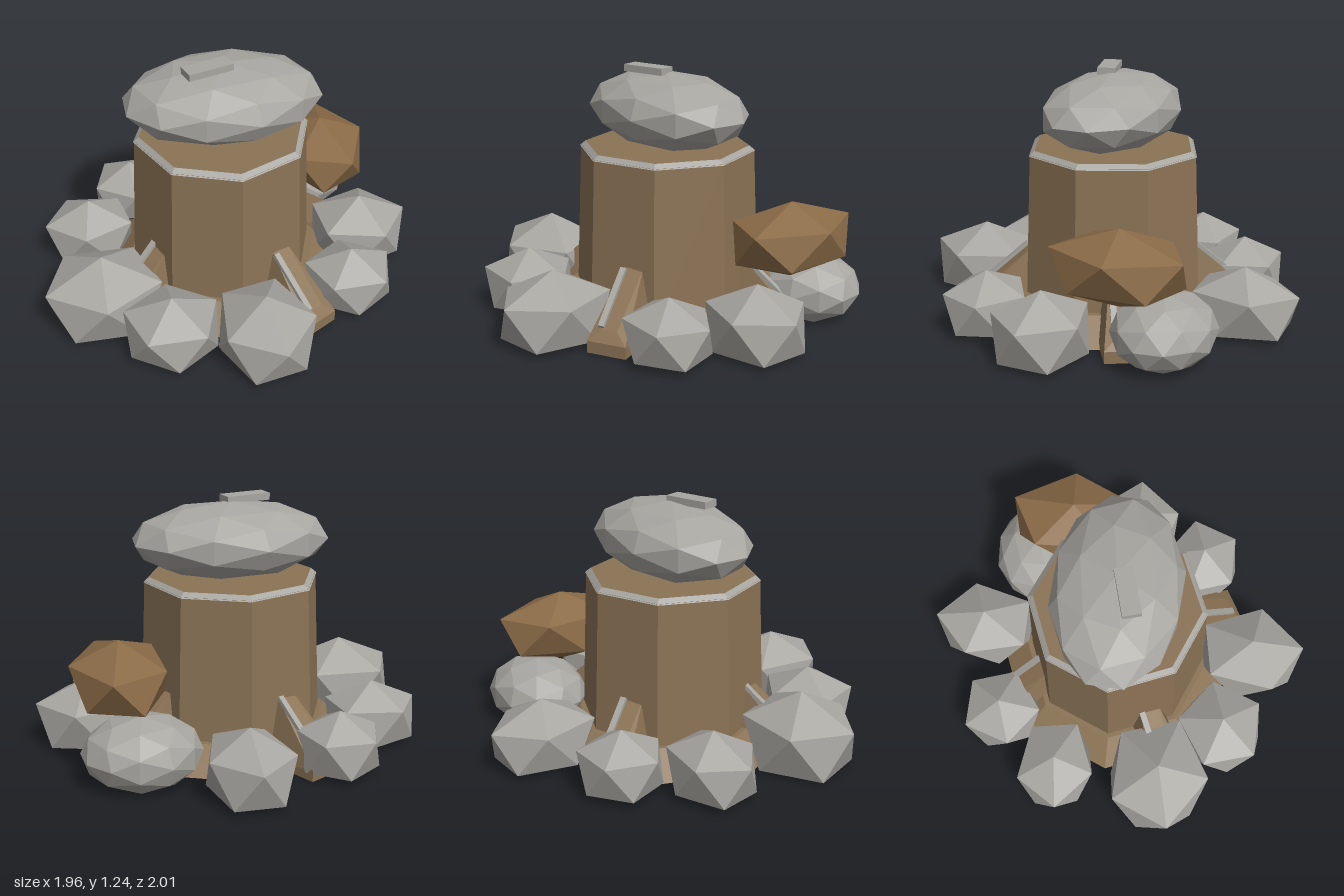
import * as THREE from 'three';
import { ConvexGeometry } from 'three/addons/geometries/ConvexGeometry.js';

const material = (name, color) => {
  const m = new THREE.MeshStandardMaterial({ color, flatShading: true });
  m.name = name;
  return m;
};

export function createModel() {
  const group = new THREE.Group();
  const wood = material('wood', 0x8b7355);
  const brownStone = material('brown stone', 0x8b6b47);
  const stone = material('grey stone', 0xa8a6a1);

  const add = (name, geometry, mat, parent = group) => {
    const mesh = new THREE.Mesh(geometry, mat);
    mesh.name = name;
    parent.add(mesh);
    return mesh;
  };

  // Faceted boulder: an apex, two five-cornered rings and a flat-cut underside
  const boulder = (name, mat, x0, x1, z0, z1, yMid, yTop, degrees, floor = 0) => {
    const cx = (x0 + x1) / 2, cz = (z0 + z1) / 2, h = yTop - yMid;
    const points = [new THREE.Vector3(cx, yTop, cz), new THREE.Vector3(cx, Math.max(floor, yMid - h), cz)];
    for (let i = 0; i < 10; i++) {
      const a = THREE.MathUtils.degToRad(degrees + i * 36), upper = i % 2 === 0;
      const r = upper ? 1.02 : 0.95;
      points.push(new THREE.Vector3(
        cx + Math.cos(a) * r * (x1 - x0) / 2,
        Math.max(floor + 0.015, yMid + (upper ? 0.447 : -0.447) * h),
        cz + Math.sin(a) * r * (z1 - z0) / 2));
    }
    add(name, new ConvexGeometry(points), mat);
  };

  // Rounder boulder with more facets and a cut underside
  const roundBoulder = (name, c, s, yaw, cut) => {
    const g = new THREE.IcosahedronGeometry(1, 1);
    g.rotateY(yaw);
    g.scale(...s);
    const p = g.attributes.position;
    for (let i = 0; i < p.count; i++) p.setY(i, Math.max(p.getY(i), cut));
    g.computeVertexNormals();
    g.translate(...c);
    return add(name, g, stone);
  };

  // Eight-sided trunk with a flared foot
  add('trunk', new THREE.CylinderGeometry(0.44, 0.475, 0.835, 8), wood).position.set(-0.015, 0.4175, 0);
  add('trunkFoot', new THREE.CylinderGeometry(0.5, 0.64, 0.12, 8), wood).position.set(-0.01, 0.06, 0);

  // Bevelled grey rim around the wooden top
  add('trunkRim', new THREE.CylinderGeometry(0.415, 0.445, 0.025, 8), [stone, wood, wood])
    .position.set(-0.015, 0.8425, 0);

  // Four sloping roots, each with a pale strip along its slope
  for (let i = 0; i < 4; i++) {
    const root = new THREE.Group();
    root.name = 'root' + (i + 1);
    root.rotation.y = 0.5 + i * Math.PI / 2;
    const points = [];
    for (const s of [-1, 1]) {
      points.push(
        new THREE.Vector3(s * 0.12, 0, 0.38), new THREE.Vector3(s * 0.05, 0.33, 0.42),
        new THREE.Vector3(s * 0.1, 0, 0.72), new THREE.Vector3(s * 0.1, 0.06, 0.72),
        new THREE.Vector3(s * 0.04, 0.11, 0.68));
    }
    add('rootWedge', new ConvexGeometry(points), wood, root);
    const strip = add('rootStrip', new THREE.BoxGeometry(0.03, 0.02, 0.32), stone, root);
    strip.position.set(-0.045, 0.225, 0.555);
    strip.rotation.x = Math.atan2(0.22, 0.26);
    group.add(root);
  }

  // Ring of grey boulders: x range, z range, middle height, top height, turn
  [
    [-0.15, 0.27, -1.0, -0.46, 0.12, 0.33, -90],
    [-0.62, -0.21, -0.79, -0.38, 0.12, 0.31, -126],
    [-0.92, -0.45, -0.46, -0.06, 0.12, 0.32, 100],
    [-0.98, -0.39, 0.02, 0.54, 0.125, 0.37, 20],
    [-0.63, -0.16, 0.37, 0.82, 0.125, 0.32, 128],
    [-0.2, 0.27, 0.44, 1.0, 0.13, 0.355, 10],
    [0.33, 0.78, 0.22, 0.63, 0.12, 0.31, 55],
    [0.47, 0.98, -0.19, 0.27, 0.12, 0.335, 0],
  ].forEach((b, i) => boulder('boulder' + (i + 1), stone, ...b));
  roundBoulder('boulder9', [0.52, 0.15, -0.49], [0.29, 0.18, 0.25], 0.4, -0.148);

  // Brown boulder leaning on the trunk
  boulder('brownBoulder', brownStone, 0.36, 0.83, -0.63, 0.04, 0.45, 0.64, -75, 0.26);

  // Large capstone on the trunk with a small slab on top
  roundBoulder('capstone', [-0.01, 1.03, 0], [0.5, 0.19, 0.325], 0.25, -0.175);
  const slab = add('slab', new THREE.BoxGeometry(0.235, 0.035, 0.09), stone);
  slab.position.set(-0.095, 1.225, 0.055);
  slab.rotation.y = 0.27;

  return group;
}
